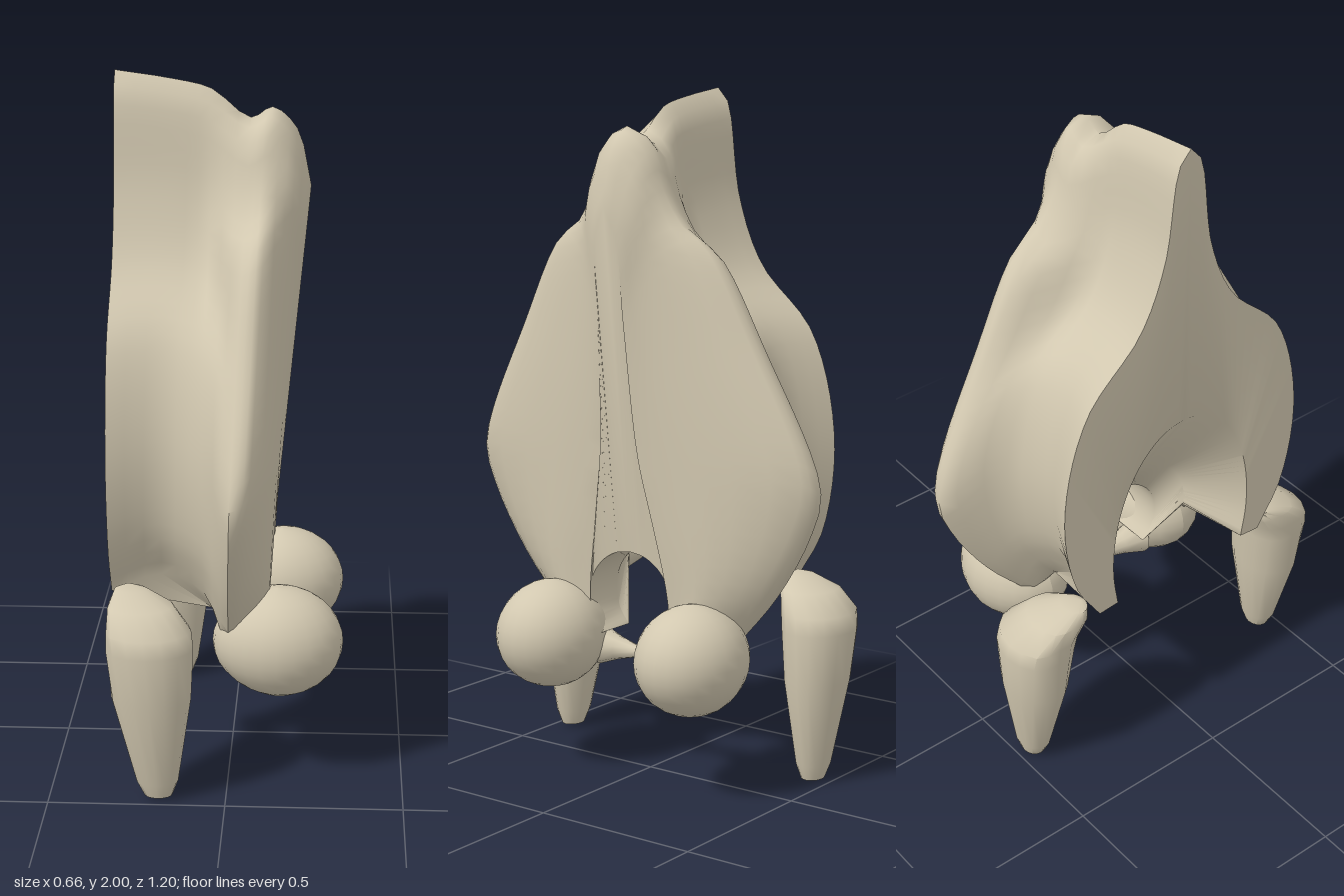
import * as THREE from 'three';
import { toCreasedNormals } from 'three/addons/utils/BufferGeometryUtils.js';

const bone = new THREE.MeshStandardMaterial({ color: 0xd2c8b0 });
bone.name = 'bone';

// Half outlines as [y, z], from the foot up to the centre line
const backOutline = [[.57, .3], [.72, .385], [1, .42], [1.3, .34], [1.49, .16], [1.68, .08], [1.96, .035], [2, 0]];
const ridgeOutline = [[.42, .3], [.6, .455], [.8, .57], [.92, .597], [1.3, .415], [1.54, .275], [1.6, .19], [1.7, .125], [1.83, .08], [1.87, 0]];
const faceOutline = [[.45, .22], [.65, .28], [.95, .25], [1.3, .16], [1.5, .12], [1.74, .08], [1.84, 0]];
const keelOutline = [[.45, .18], [.6, .18], [.75, .12], [.95, .07], [1.35, .045], [1.6, .035], [1.68, 0]];

// Places an outline between a foot [x, y] and a top [x, y]
function rail(outline, foot, top, width = 1) {
  const y0 = outline[0][0], y1 = outline[outline.length - 1][0];
  return outline.map(([y, z]) => {
    const t = (y - y0) / (y1 - y0);
    return new THREE.Vector3(
      THREE.MathUtils.lerp(foot[0], top[0], t),
      THREE.MathUtils.lerp(foot[1], top[1], t),
      z * width);
  });
}

// Half of the tunnel opening, an arc from the foot up to the crown
function tunnel(x, centreY, radiusZ, radiusY, start) {
  return Array.from({ length: 8 }, (_, i) => {
    const a = THREE.MathUtils.lerp(start, Math.PI / 2, i / 7);
    return new THREE.Vector3(x, centreY + radiusY * Math.sin(a), radiusZ * Math.cos(a));
  });
}

// Skin wrapped over rails: back face, outside, front face, tunnel
function archGeometry(half = 30) {
  const sample = r => new THREE.CatmullRomCurve3(r).getSpacedPoints(half);
  const outside = [
    rail(backOutline, [-.33, .57], [-.33, 2]),
    rail(backOutline, [-.19, .61], [-.16, 1.975], .88),
    rail(backOutline, [-.07, .57], [-.06, 1.95], 1),
    rail(ridgeOutline, [0, .42], [.05, 1.87]),
    rail(ridgeOutline, [.05, .45], [.11, 1.9], .95),
    rail(faceOutline, [.11, .45], [.18, 1.84]),
    rail(keelOutline, [.1, .45], [.22, 1.68]),
  ].map(sample);
  // Round the outside by running a curve across its rails
  const steps = (outside.length - 1) * 3;
  const across = outside[0].map((_, j) => new THREE.CatmullRomCurve3(outside.map(r => r[j])));
  const rows = Array.from({ length: steps + 1 }, (_, k) => across.map(c => c.getPoint(k / steps)));
  rows.push(...[
    tunnel(.1, .53, .15, .15, -.8),
    tunnel(-.03, .53, .15, .15, -.8),
    tunnel(-.13, .62, .18, .2, -.1),
    tunnel(-.33, .72, .25, .41, -.36),
  ].map(sample));

  const n = rows.length, m = 2 * half + 1, points = [], index = [];
  for (const side of rows) {
    const mirrored = side.slice(0, half).reverse().map(p => new THREE.Vector3(p.x, p.y, -p.z));
    points.push(...side, ...mirrored);
  }
  for (let i = 0; i < n; i++) {
    const a = i * m, b = ((i + 1) % n) * m;
    for (let j = 0; j < m - 1; j++) {
      // The diagonal is mirrored too, so both halves match
      if (j < half) index.push(a + j, b + j, b + j + 1, a + j, b + j + 1, a + j + 1);
      else index.push(a + j, b + j, a + j + 1, b + j, b + j + 1, a + j + 1);
    }
  }
  // Close both feet with a fan
  for (const end of [0, m - 1]) {
    const centre = new THREE.Vector3();
    for (let i = 0; i < n; i++) centre.addScaledVector(points[i * m + end], 1 / n);
    const id = points.push(centre) - 1;
    for (let i = 0; i < n; i++) {
      const a = i * m + end, b = ((i + 1) % n) * m + end;
      index.push(id, ...(end ? [a, b] : [b, a]));
    }
  }
  const g = new THREE.BufferGeometry().setFromPoints(points);
  g.setIndex(index);
  return toCreasedNormals(g, 1.05);
}

function lathe(profile, segments) {
  return new THREE.LatheGeometry(profile.map(p => new THREE.Vector2(...p)), segments);
}

// Tapered peg, its head drawn back and inwards, sliced flat at the back plane
function pegGeometry(side) {
  const g = lathe([[0, .005], [.04, .015], [.06, .06], [.112, .31], [.128, .46], [.128, .51], [.1, .565], [.045, .595], [0, .605]], 16);
  const p = g.attributes.position;
  for (let i = 0; i < p.count; i++) {
    const y = p.getY(i), pull = Math.max(0, (y - .48) / .12) ** 2;
    p.setX(i, Math.max(-.33, p.getX(i) - .19 - .06 * y - .05 * pull));
    p.setZ(i, p.getZ(i) * .8 + side * (.45 - .11 * pull));
  }
  return toCreasedNormals(g, 0.9);
}

// Rounded knob that narrows towards the arch
function knobGeometry() {
  const g = new THREE.SphereGeometry(1, 24, 16);
  const p = g.attributes.position;
  for (let i = 0; i < p.count; i++) {
    const x = p.getX(i), s = 1 + .08 * Math.min(x, 0);
    p.setXYZ(i, .14 + x * .187, .41 + p.getY(i) * .16 * s, p.getZ(i) * .158 * s);
  }
  g.computeVertexNormals();
  return g;
}

// Thin waisted strand joining the two knobs below the tunnel
function strandGeometry() {
  const g = lathe([[.06, -.15], [.035, -.08], [.015, 0], [.035, .08], [.06, .15]], 10);
  g.rotateX(Math.PI / 2);
  g.translate(.05, .37, 0);
  return g;
}

export function createModel() {
  const model = new THREE.Group();
  model.name = 'boneArch';
  const add = (name, geometry) => {
    const mesh = new THREE.Mesh(geometry, bone);
    mesh.name = name;
    model.add(mesh);
    return mesh;
  };
  add('arch', archGeometry());
  add('strand', strandGeometry());
  const knob = knobGeometry();
  for (const [end, side] of [['front', 1], ['back', -1]]) {
    add(end + 'Peg', pegGeometry(side));
    add(end + 'Knob', knob).position.z = side * .255;
  }
  return model;
}
